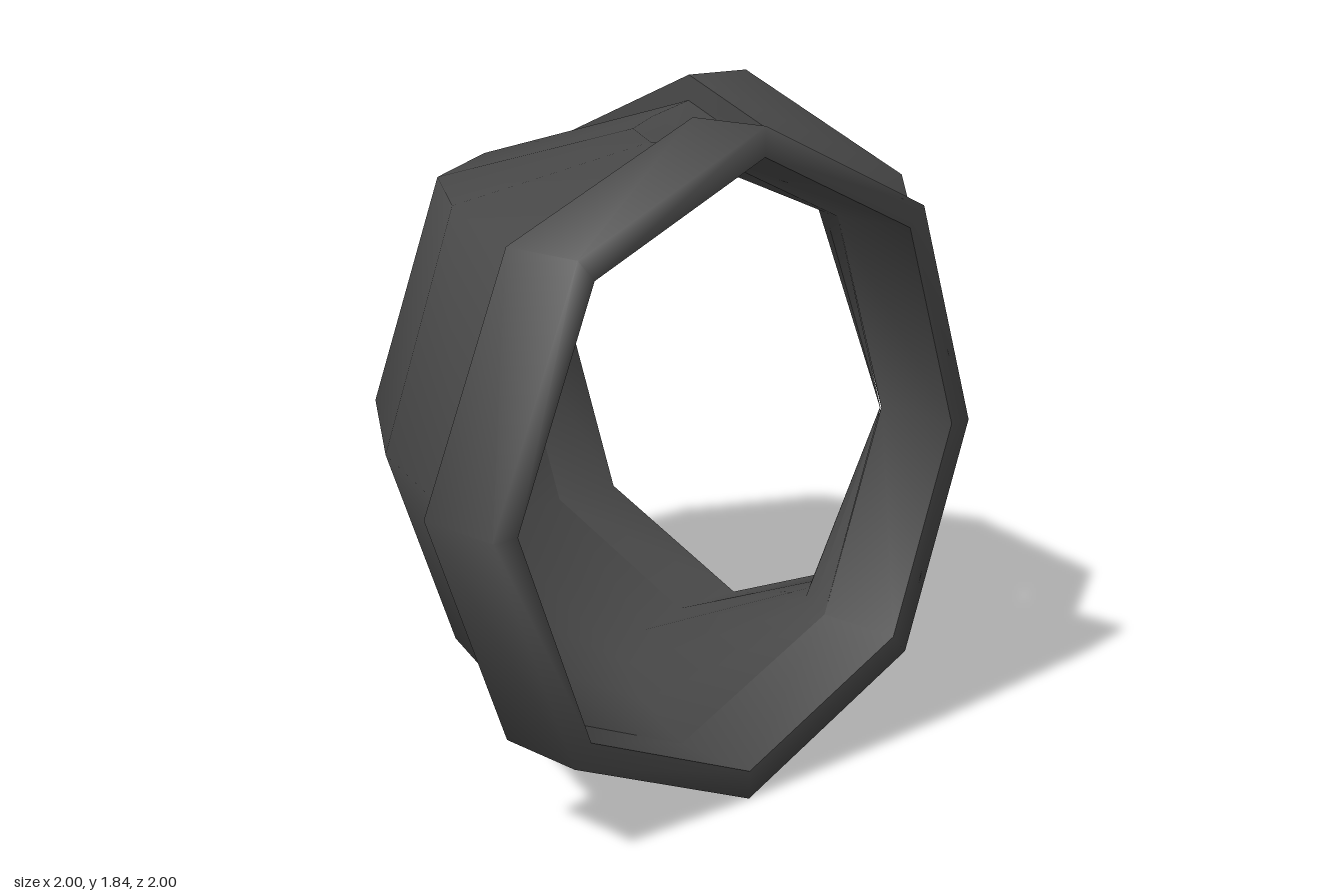
import * as THREE from 'three';

const SIDES = 8, CY = 0.92, PIVOT = 0.74, CENTRE = 0.08;
const BORE = 0.84, RIM = 0.92;

// Smooth surface through a list of closed rings of [x, y, z] points
function loft(rings, material, name) {
  const n = rings[0].length, index = [];
  for (let i = 0; i < rings.length - 1; i++) {
    for (let j = 0; j < n; j++) {
      const k = (j + 1) % n;
      const a = i * n + j, b = i * n + k, c = a + n, d = b + n;
      index.push(a, c, b, b, c, d);
    }
  }
  const geometry = new THREE.BufferGeometry();
  geometry.setAttribute('position', new THREE.Float32BufferAttribute(rings.flat(2), 3));
  geometry.setIndex(index);
  geometry.computeVertexNormals();
  const mesh = new THREE.Mesh(geometry, material);
  mesh.name = name;
  return mesh;
}

// Octagon ring; fn turns (cos, sin, corner number) into a point
function ring(fn) {
  return Array.from({ length: SIDES }, (_, j) => {
    const a = (j / SIDES) * Math.PI * 2;
    return fn(Math.cos(a), Math.sin(a), j);
  });
}

// Collar ring across the x axis; the corner inside the bend is pulled in
function collarRing(x, r, innerX = x) {
  return ring((c, s, j) => {
    const inner = j === SIDES / 2;
    return [inner ? innerX : x, CY + r * s, CENTRE + r * (inner ? -0.975 : c)];
  });
}

export function createModel() {
  const model = new THREE.Group();
  model.name = 'pipeElbow';
  const iron = new THREE.MeshStandardMaterial({ color: 0x484848, side: THREE.DoubleSide });
  iron.name = 'dark iron';

  // Bend: octagonal sections swept a quarter turn about the inside corner,
  // with the middle sections slightly swollen at the outer shoulders
  const outerReach = [1, 0.923, 0.908, 0.923, 1];
  const turn = [90, 69, 45, 21, 0];
  const lift = [0, 0.08, -0.02, 0, 0, 0, 0.02, 0.04];
  const swell = [0, 0.03, 0, 0, 0, 0, 0, 0.03];
  const sections = turn.map((deg, i) => {
    const t = THREE.MathUtils.degToRad(deg);
    const middle = i > 0 && i < turn.length - 1 ? 1 : 0;
    return ring((c, s, j) => {
      const rho = Math.max(0.005, outerReach[i] * (PIVOT + CENTRE + BORE * c)) + middle * swell[j];
      return [
        PIVOT - rho * Math.sin(t),
        CY + BORE * s + middle * lift[j],
        -PIVOT + rho * Math.cos(t),
      ];
    });
  });
  model.add(loft(sections, iron, 'bend'));

  // Collars: shoulder step, outer wall with its end lip, and the bore within
  const parts = {
    shoulder: [collarRing(PIVOT, BORE), collarRing(PIVOT, RIM, 0.81)],
    sleeve: [collarRing(PIVOT, RIM, 0.81), collarRing(1, RIM), collarRing(1, BORE)],
    bore: [collarRing(1, BORE), collarRing(PIVOT, BORE)],
  };
  const mirror = rings => rings.map(r => r.map(([x, y, z]) => [-z, y, -x])).reverse();
  for (const [name, place] of [['sideCollar', r => r], ['backCollar', mirror]]) {
    const collar = new THREE.Group();
    collar.name = name;
    for (const part in parts) collar.add(loft(place(parts[part]), iron, part));
    model.add(collar);
  }
  return model;
}
